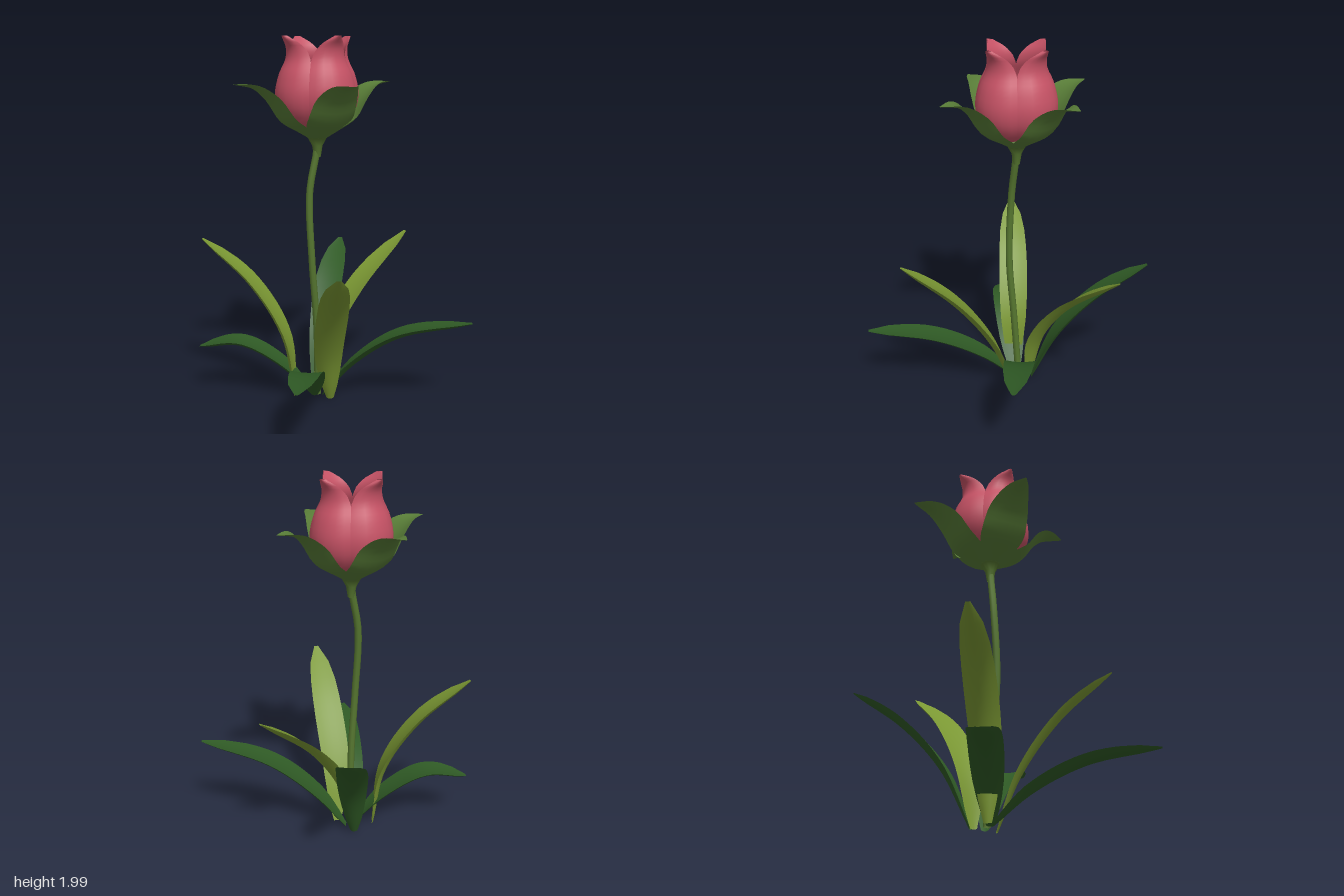
import * as THREE from 'three';
import { toCreasedNormals } from 'three/addons/utils/BufferGeometryUtils.js';

const material = (color) => new THREE.MeshStandardMaterial({ color, side: THREE.DoubleSide });
const stemGreen = material(0x55752f), sepalGreen = material(0x587c37);
const lightGreen = material(0x7a9733), darkGreen = material(0x2f5a25), pink = material(0xc65265);

// Linear lookup in evenly spaced values
function sample(values, u) {
  const f = u * (values.length - 1), i = Math.min(Math.floor(f), values.length - 2);
  return THREE.MathUtils.lerp(values[i], values[i + 1], f - i);
}

// Thin closed blade: point(u, s, side) gives its inner (side 1) and outer (side -1) faces
function blade(point, rows, cols) {
  const positions = [], index = [], ring = cols * 2;
  for (let i = 0; i <= rows; i++) {
    for (let j = 0; j < ring; j++) {
      const top = j <= cols;
      const s = top ? -1 + (2 * j) / cols : 3 - (2 * j) / cols;
      positions.push(...point(i / rows, s, top ? 1 : -1).toArray());
    }
  }
  for (let i = 0; i < rows; i++) {
    for (let j = 0; j < ring; j++) {
      const a = i * ring + j, b = i * ring + (j + 1) % ring;
      index.push(a, a + ring, b, b, a + ring, b + ring);
    }
  }
  const g = new THREE.BufferGeometry();
  g.setAttribute('position', new THREE.Float32BufferAttribute(positions, 3));
  g.setIndex(index);
  return toCreasedNormals(g, 1.0);
}

// Leaf swept along a curve, with half widths and a raised rim
function leafGeometry(points, widths, cup, thick) {
  const curve = new THREE.CatmullRomCurve3(points.map((p) => new THREE.Vector3(...p)));
  const along = curve.getPoint(1).sub(curve.getPoint(0)).setY(0).normalize();
  const across = new THREE.Vector3(0, 1, 0).cross(along);
  const full = Math.max(...widths);
  return blade((u, s, side) => {
    const w = sample(widths, u);
    const normal = curve.getTangent(u).cross(across).normalize();
    const lift = (cup * s * s + side * thick * (1 - s * s)) * w / full;
    return curve.getPoint(u).addScaledVector(across, s * w).addScaledVector(normal, lift);
  }, 20, 6);
}

export function createModel() {
  const model = new THREE.Group();
  const add = (name, geometry, mat, parent = model) => {
    const mesh = new THREE.Mesh(geometry, mat);
    mesh.name = name;
    parent.add(mesh);
    return mesh;
  };

  // Gently bent stem
  const stem = new THREE.CatmullRomCurve3([
    [-0.05, 0.02, -0.08], [-0.07, 0.45, -0.06], [-0.1, 0.8, -0.055],
    [-0.1, 1.18, -0.075], [-0.06, 1.4, -0.067], [-0.055, 1.5, -0.067],
  ].map((p) => new THREE.Vector3(...p)));
  add('stem', new THREE.TubeGeometry(stem, 24, 0.019, 8), stemGreen);

  // Arching leaves, base to tip
  const leafWidths = [0.02, 0.045, 0.062, 0.074, 0.08, 0.083, 0.083, 0.08, 0.073, 0.055, 0.012];
  const leaves = [
    ['backLeftLeaf', darkGreen, [[-0.01, 0.01, -0.15], [0.1, 0.32, -0.25], [0.25, 0.56, -0.4], [0.46, 0.76, -0.59]]],
    ['leftLeaf', lightGreen, [[-0.02, 0.01, -0.14], [0.06, 0.31, -0.13], [0.27, 0.6, -0.125], [0.61, 0.87, -0.13]]],
    ['frontLeftLeaf', darkGreen, [[-0.02, 0.01, -0.07], [0.1, 0.22, 0.06], [0.27, 0.4, 0.25], [0.52, 0.5, 0.55]]],
    ['frontLeaf', lightGreen, [[-0.02, 0.01, 0], [-0.09, 0.3, 0.09], [-0.19, 0.61, 0.28], [-0.33, 0.87, 0.53]]],
    ['frontRightLeaf', darkGreen, [[-0.08, 0.02, -0.07], [-0.2, 0.19, 0.08], [-0.37, 0.33, 0.3], [-0.6, 0.39, 0.58]]],
    ['backRightTallLeaf', lightGreen, [[-0.16, 0.01, -0.15], [-0.2, 0.36, -0.19], [-0.33, 0.66, -0.32], [-0.53, 0.9, -0.51]]],
    ['backRightLowLeaf', darkGreen, [[-0.08, 0.02, -0.08], [-0.22, 0.2, -0.19], [-0.4, 0.32, -0.33], [-0.58, 0.29, -0.48]]],
  ];
  for (const [name, mat, points] of leaves) {
    add(name, leafGeometry(points, leafWidths, 0.022, 0.014), mat);
  }

  const flower = new THREE.Group();
  flower.name = 'flower';
  flower.position.set(-0.055, 0, -0.067);
  model.add(flower);

  // Flared cup under the bud
  const cup = [[0.018, 1.37], [0.028, 1.43], [0.05, 1.47], [0.1, 1.51], [0, 1.525]];
  add('calyx', new THREE.LatheGeometry(cup.map((p) => new THREE.Vector2(...p)), 12), stemGreen, flower);

  // Four sepals curling outward
  const sepalWidths = [0.025, 0.07, 0.105, 0.122, 0.125, 0.118, 0.1, 0.075, 0.045, 0.004];
  const sepalPath = [[0, 1.45, 0.01], [0, 1.505, 0.1], [0, 1.56, 0.19], [0, 1.67, 0.27], [0, 1.735, 0.35], [0, 1.755, 0.455]];
  const sepal = leafGeometry(sepalPath, sepalWidths, 0.03, 0.006);
  // Four cupped petals with flared tips
  const petalProfile = new THREE.CatmullRomCurve3([
    [0.03, 1.51], [0.13, 1.535], [0.195, 1.61], [0.215, 1.7], [0.195, 1.8],
    [0.16, 1.88], [0.162, 1.94], [0.2, 1.995],
  ].map(([r, y]) => new THREE.Vector3(r, y, 0)));
  const petalSpread = [0.8, 0.82, 0.84, 0.85, 0.85, 0.84, 0.82, 0.78, 0.66, 0.42, 0.08];
  const petal = blade((u, s, side) => {
    const p = petalProfile.getPoint(u), angle = s * sample(petalSpread, u);
    const r = p.x - side * 0.012 * (1 - s * s) - 0.012 * s * s;
    return new THREE.Vector3(r * Math.sin(angle), p.y, r * Math.cos(angle));
  }, 24, 8);
  ['front', 'left', 'back', 'right'].forEach((side, i) => {
    add(side + 'Sepal', sepal, sepalGreen, flower).rotation.y = i * Math.PI / 2 - 0.16 + (i % 2 ? 0.2 + 0.02 * i : 0);
    add(side + 'Petal', petal, pink, flower).rotation.y = i * Math.PI / 2;
  });
  // Sepals turn a little around the stem
  flower.getObjectByName('frontSepal').rotation.y = -0.17;
  flower.getObjectByName('leftSepal').rotation.y = Math.PI / 2 - 0.08;
  flower.getObjectByName('backSepal').rotation.y = Math.PI - 0.17;
  flower.getObjectByName('rightSepal').rotation.y = Math.PI * 1.5 - 0.17;
  return model;
}
